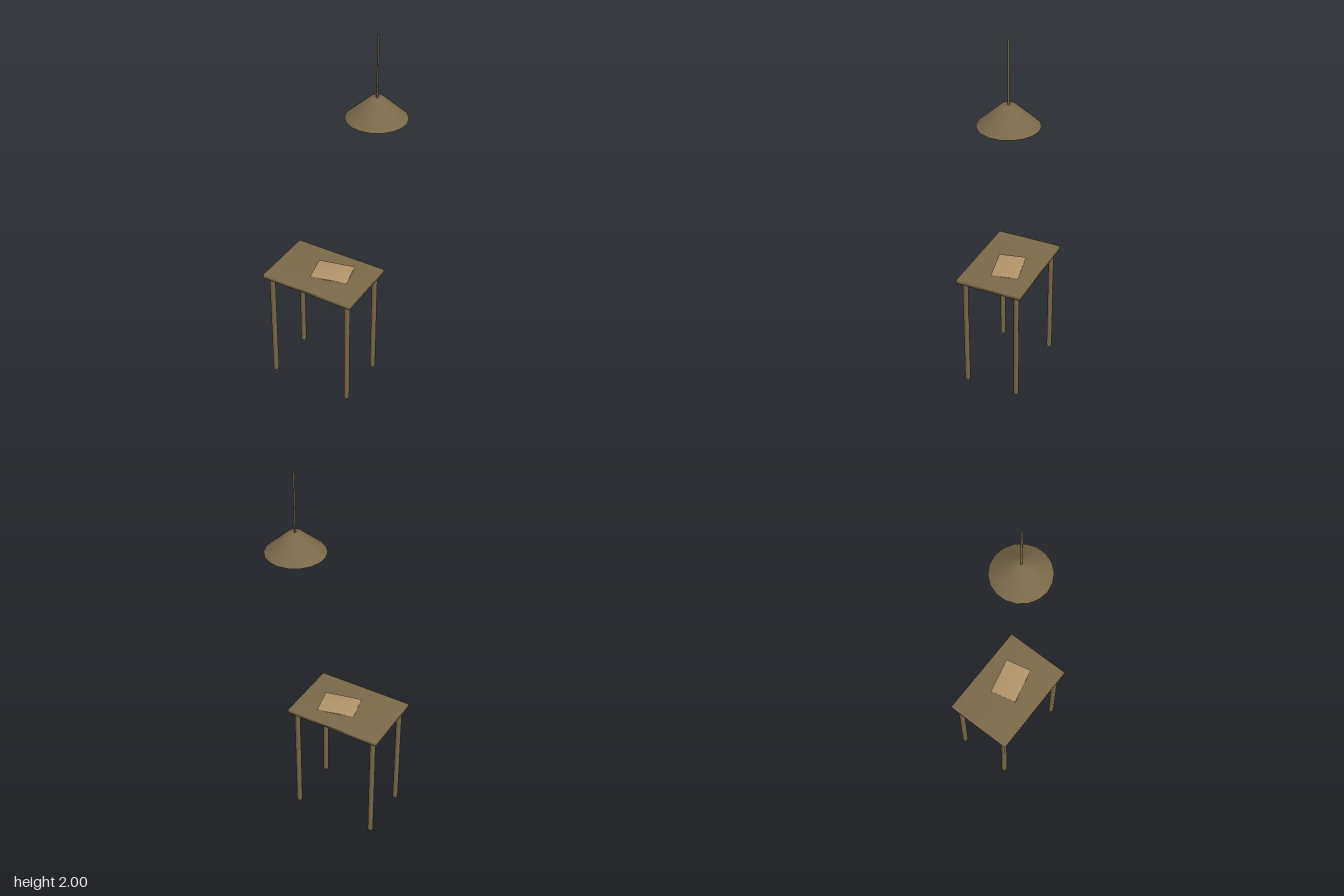
import * as THREE from 'three';
import { mergeVertices } from 'three/addons/utils/BufferGeometryUtils.js';

// Share vertices so the shading runs smoothly over every edge
function soften(geometry) {
  geometry.deleteAttribute('normal');
  geometry.deleteAttribute('uv');
  const merged = mergeVertices(geometry, 1e-4);
  merged.computeVertexNormals();
  return merged;
}

export function createModel() {
  const group = new THREE.Group();
  const wood = new THREE.MeshStandardMaterial({ color: 0x7a6a4a, side: THREE.DoubleSide });
  wood.name = 'olive brown';
  const tan = new THREE.MeshStandardMaterial({ color: 0xb09468 });
  tan.name = 'warm tan';

  const add = (name, geometry, material, x, y, z) => {
    const mesh = new THREE.Mesh(soften(geometry), material);
    mesh.name = name;
    mesh.position.set(x, y, z);
    group.add(mesh);
    return mesh;
  };

  // Table
  const tableX = -0.062, tableZ = 0.038;
  add('tableTop', new THREE.BoxGeometry(0.515, 0.02, 0.355), wood, tableX, 0.65, tableZ);
  for (const sx of [-1, 1]) {
    for (const sz of [-1, 1]) {
      add('tableLeg', new THREE.BoxGeometry(0.021, 0.64, 0.021), wood,
        tableX + sx * 0.223, 0.32, tableZ + sz * 0.143);
    }
  }

  // Booklet lying at a slight angle
  const booklet = add('booklet', new THREE.BoxGeometry(0.193, 0.012, 0.141), tan, -0.018, 0.666, 0.021);
  booklet.rotation.y = 0.222;

  // Hanging lamp
  const lampX = 0.17, lampZ = -0.068;
  add('lampCord', new THREE.CylinderGeometry(0.005, 0.005, 0.312, 6), wood, lampX, 1.844, lampZ);
  const shade = [[0, 1.69], [0.035, 1.69], [0.15, 1.585]].map(([r, y]) => new THREE.Vector2(r, y));
  add('lampShade', new THREE.LatheGeometry(shade.reverse(), 18), wood, lampX, 0, lampZ);
  add('lampBulb', new THREE.CylinderGeometry(0.021, 0.032, 0.05, 12), tan, lampX, 1.58, lampZ);

  return group;
}
